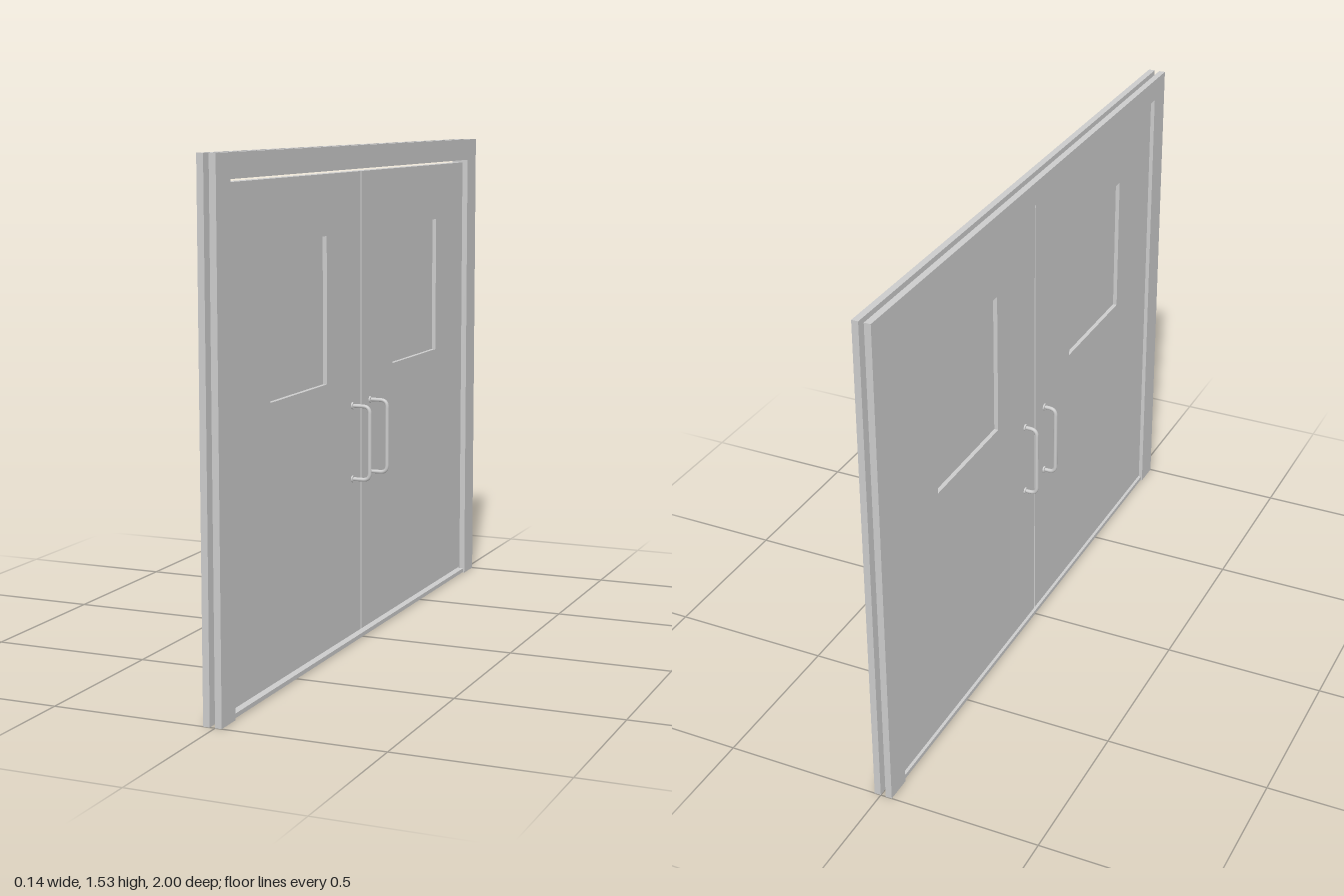
import * as THREE from 'three';

const mat = new THREE.MeshStandardMaterial({ color: 0xcccccc });

// Outline in the (z, y) plane, extruded along x from x0 to x1
function slab(shape, x0, x1, name) {
  const geo = new THREE.ExtrudeGeometry(shape, { depth: x1 - x0, bevelEnabled: false });
  geo.rotateY(Math.PI / 2); // shape x -> -z, depth -> +x
  geo.translate(x0, 0, 0);
  const mesh = new THREE.Mesh(geo, mat);
  mesh.name = name;
  return mesh;
}

function rect(a0, a1, b0, b1, Type = THREE.Shape) {
  return new Type([[a0, b0], [a1, b0], [a1, b1], [a0, b1]].map(p => new THREE.Vector2(...p)));
}

// Upside-down U: two posts and a head, open at the floor
function arch(outer, top, inner, innerTop) {
  return new THREE.Shape([
    [-outer, 0], [-inner, 0], [-inner, innerTop], [inner, innerTop],
    [inner, 0], [outer, 0], [outer, top], [-outer, top],
  ].map(p => new THREE.Vector2(...p)));
}

// Bent pull bar with round feet; dir is the side of the door it stands on
function pullHandle(dir, z) {
  const group = new THREE.Group();
  group.name = 'pullHandle';
  const face = dir > 0 ? 0.005 : -0.027, out = dir > 0 ? 0.063 : -0.067;
  const low = 0.516, high = 0.744, r = 0.022;
  const v = (x, y) => new THREE.Vector3(x, y, z);
  const path = new THREE.CurvePath();
  path.add(new THREE.LineCurve3(v(face, low), v(out - dir * r, low)));
  path.add(new THREE.QuadraticBezierCurve3(v(out - dir * r, low), v(out, low), v(out, low + r)));
  path.add(new THREE.LineCurve3(v(out, low + r), v(out, high - r)));
  path.add(new THREE.QuadraticBezierCurve3(v(out, high - r), v(out, high), v(out - dir * r, high)));
  path.add(new THREE.LineCurve3(v(out - dir * r, high), v(face, high)));
  const bar = new THREE.Mesh(new THREE.TubeGeometry(path, 80, 0.006, 12), mat);
  bar.name = 'handleBar';
  group.add(bar);
  for (const y of [low, high]) {
    const foot = new THREE.Mesh(new THREE.CylinderGeometry(0.011, 0.011, 0.005, 20), mat);
    foot.rotation.z = Math.PI / 2;
    foot.position.set(face + dir * 0.0025, y, z);
    foot.name = 'handleFoot';
    group.add(foot);
  }
  return group;
}

export function createModel() {
  const model = new THREE.Group();
  model.name = 'doubleDoor';

  // Casing boards on both faces, with the thinner lining between them
  const casing = arch(1, 1.535, 0.916, 1.465);
  model.add(slab(casing, -0.036, -0.016, 'backCasing'));
  model.add(slab(casing, 0, 0.02, 'frontCasing'));
  model.add(slab(arch(0.926, 1.472, 0.915, 1.464), -0.017, 0.001, 'frameLining'));

  // Floor threshold
  model.add(slab(rect(-0.915, 0.915, 0.003, 0.016), -0.032, 0.016, 'threshold'));

  // Door leaves with recessed panes and handles on both faces
  for (const s of [1, -1]) {
    const leaf = new THREE.Group();
    leaf.name = s > 0 ? 'leftSideLeaf' : 'rightSideLeaf';
    const span = (a, b) => s > 0 ? [a, b] : [-b, -a];
    const shape = rect(...span(0.003, 0.906), 0.024, 1.456);
    shape.holes.push(rect(...span(0.26, 0.65), 0.835, 1.275, THREE.Path));
    leaf.add(slab(shape, -0.027, 0.005, 'doorPanel'));
    leaf.add(slab(rect(...span(0.258, 0.652), 0.833, 1.277), -0.014, -0.008, 'windowPane'));
    for (const dir of [1, -1]) leaf.add(pullHandle(dir, s > 0 ? -0.072 : 0.069));
    model.add(leaf);
  }
  return model;
}
